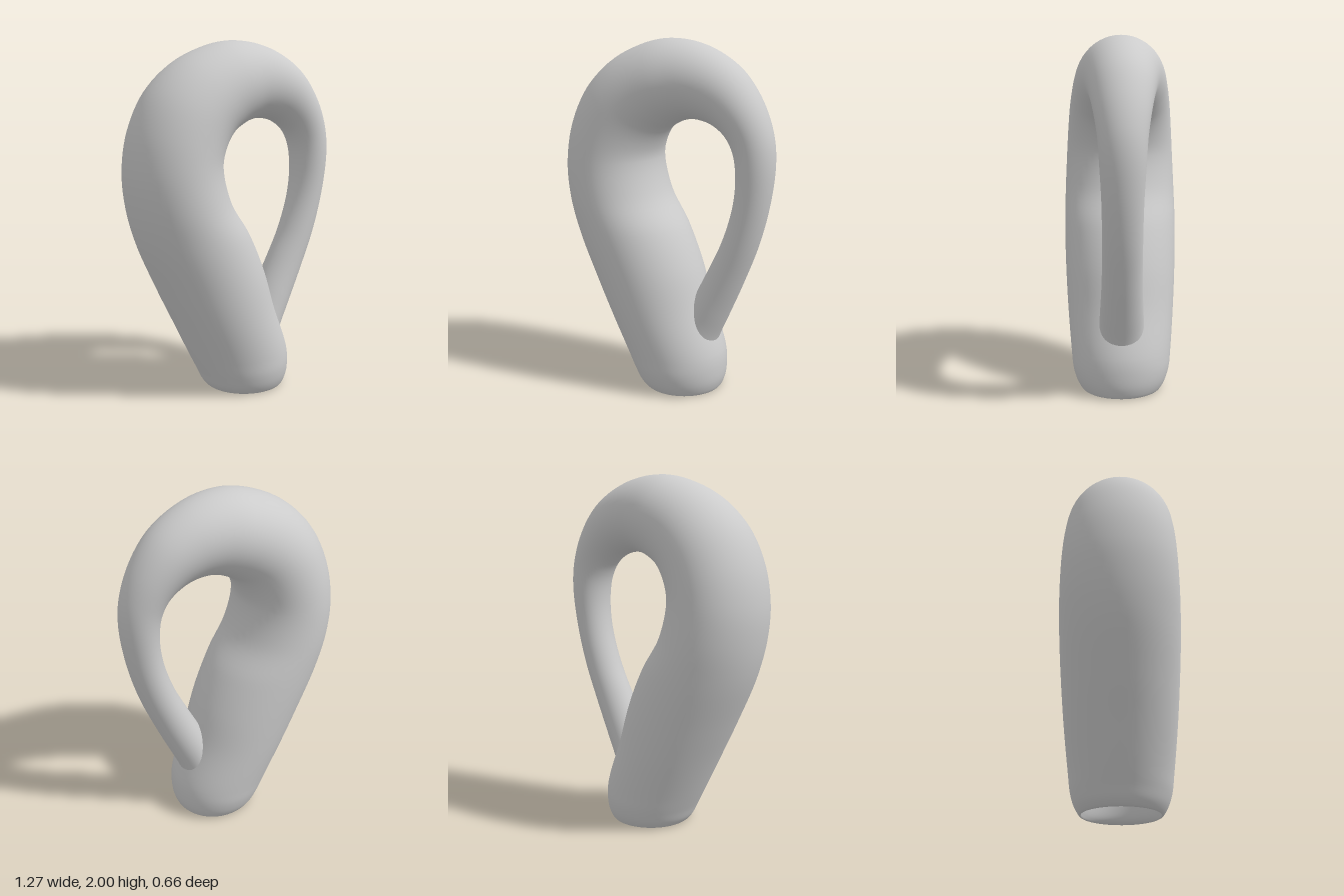
import * as THREE from 'three';

// Cross-sections along the loop: [outer x, outer y, inner x, inner y, half depth]
const SECTIONS = [
  // rim and body
  [-0.13, 0, 0.31, 0, 0.22],
  [-0.165, 0.03, 0.335, 0.05, 0.25],
  [-0.2, 0.1, 0.343, 0.13, 0.275],
  [-0.25, 0.2, 0.332, 0.23, 0.287],
  [-0.35, 0.41, 0.24, 0.48, 0.308],
  [-0.45, 0.62, 0.165, 0.72, 0.322],
  [-0.57, 0.9, 0.07, 0.93, 0.33],
  [-0.62, 1.1, -0.05, 1.12, 0.328],
  [-0.635, 1.3, -0.1, 1.32, 0.32],
  // arch
  [-0.6, 1.52, -0.08, 1.41, 0.31],
  [-0.5, 1.73, -0.03, 1.49, 0.295],
  [-0.33, 1.89, 0.03, 1.53, 0.275],
  [-0.1, 1.985, 0.09, 1.555, 0.25],
  [0.07, 1.995, 0.14, 1.565, 0.225],
  [0.25, 1.95, 0.2, 1.563, 0.2],
  [0.42, 1.845, 0.28, 1.54, 0.175],
  [0.54, 1.69, 0.36, 1.48, 0.15],
  [0.61, 1.52, 0.405, 1.39, 0.13],
  // thin neck coming down
  [0.63, 1.37, 0.42, 1.25, 0.12],
  [0.61, 1.15, 0.4, 1.09, 0.11],
  [0.55, 0.9, 0.34, 0.9, 0.108],
  [0.46, 0.66, 0.27, 0.75, 0.11],
  [0.37, 0.45, 0.2, 0.61, 0.118],
  // neck inside the body, flaring back to the rim
  [0.305, 0.3, 0.12, 0.45, 0.13],
  [0.27, 0.18, 0.02, 0.27, 0.16],
  [0.27, 0.08, -0.06, 0.12, 0.19],
  [0.285, 0.02, -0.11, 0.03, 0.21],
];
// Inside the body the neck's outer side runs along +x and its inner side along -x,
// so the loop closes onto the rim with the two sides swapped.

function sideCurve(outer) {
  const pick = (s, flip) => (outer !== flip
    ? new THREE.Vector3(s[0], s[1], s[4])
    : new THREE.Vector3(s[2], s[3], s[4]));
  // One extra section either side of the seam keeps the lip rounded
  const last = SECTIONS.length - 1;
  return new THREE.CatmullRomCurve3([
    pick(SECTIONS[last], true),
    ...SECTIONS.map((s) => pick(s, false)),
    pick(SECTIONS[0], true),
    pick(SECTIONS[1], true),
  ]);
}

function createLoopSurface(steps, sides) {
  const outer = sideCurve(true);
  const inner = sideCurve(false);
  const spans = SECTIONS.length + 2;
  const positions = [];
  const indices = [];
  for (let i = 0; i <= steps; i++) {
    const t = (1 + (i / steps) * SECTIONS.length) / spans;
    const a = outer.getPoint(t);
    const b = inner.getPoint(t);
    for (let j = 0; j < sides; j++) {
      const angle = (j / sides) * Math.PI * 2;
      const k = (1 + Math.cos(angle)) / 2;
      positions.push(
        b.x + (a.x - b.x) * k,
        Math.max(0, b.y + (a.y - b.y) * k),
        a.z * Math.sin(angle),
      );
      if (i < steps) {
        const p = i * sides + j;
        const q = i * sides + ((j + 1) % sides);
        indices.push(p, q, p + sides, q, q + sides, p + sides);
      }
    }
  }
  const geometry = new THREE.BufferGeometry();
  geometry.setAttribute('position', new THREE.Float32BufferAttribute(positions, 3));
  geometry.setIndex(indices);
  geometry.computeVertexNormals();
  return geometry;
}

export function createModel() {
  const group = new THREE.Group();
  group.name = 'loopedBottle';
  const material = new THREE.MeshStandardMaterial({ color: 0xcccccc, side: THREE.DoubleSide });
  const surface = new THREE.Mesh(createLoopSurface(162, 48), material);
  surface.name = 'bottleSurface';
  group.add(surface);
  return group;
}
